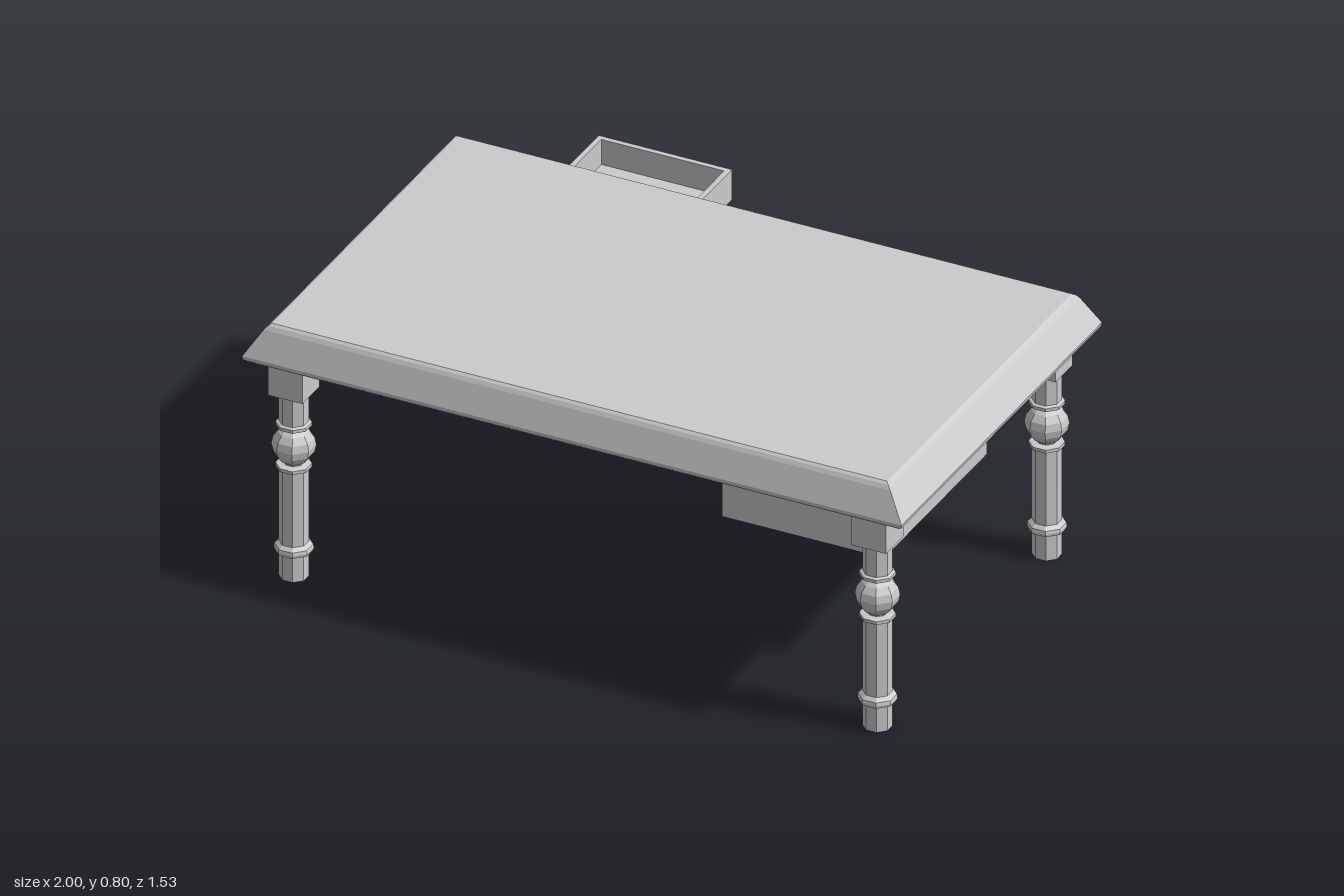
import * as THREE from 'three';

const mat = new THREE.MeshStandardMaterial({ color: 0xcccccc, flatShading: true });
const smooth = new THREE.MeshStandardMaterial({ color: 0xcccccc });

function add(parent, name, geometry, x = 0, y = 0, z = 0, material = mat) {
  const m = new THREE.Mesh(geometry, material);
  m.name = name;
  m.position.set(x, y, z);
  parent.add(m);
  return m;
}

// Box given by its limits on each axis
function span(parent, name, x0, x1, y0, y1, z0, z1) {
  return add(parent, name, new THREE.BoxGeometry(x1 - x0, y1 - y0, z1 - z0),
    (x0 + x1) / 2, (y0 + y1) / 2, (z0 + z1) / 2);
}

// Rectangular loft from rows of [y, half width, half depth], bottom to top
function rectLoft(rows) {
  const pos = [], idx = [];
  for (const [y, w, d] of rows) pos.push(-w, y, d, w, y, d, w, y, -d, -w, y, -d);
  for (let r = 0; r < rows.length - 1; r++) {
    for (let i = 0; i < 4; i++) {
      const a = r * 4 + i, b = r * 4 + (i + 1) % 4;
      idx.push(a, b, b + 4, a, b + 4, a + 4);
    }
  }
  const t = (rows.length - 1) * 4;
  idx.push(0, 2, 1, 0, 3, 2, t, t + 1, t + 2, t, t + 2, t + 3);
  const g = new THREE.BufferGeometry();
  g.setAttribute('position', new THREE.Float32BufferAttribute(pos, 3));
  g.setIndex(idx);
  const flat = g.toNonIndexed();
  flat.computeVertexNormals();
  return flat;
}

// Eight-sided turned leg with a square block on top
function makeLeg(x, z) {
  const leg = new THREE.Group();
  leg.name = 'leg';
  leg.position.set(x, 0, z);
  const profile = [[0, 0], [0.038, 0], [0.038, 0.08], [0.049, 0.082], [0.051, 0.09], [0.049, 0.1],
    [0.038, 0.11], [0.038, 0.342], [0.046, 0.344], [0.046, 0.354], [0.026, 0.357]];
  for (let i = 1; i < 8; i++) {
    const a = (i / 8) * Math.PI;
    profile.push([Math.max(0.026, 0.057 * Math.sin(a)), 0.414 - 0.058 * Math.cos(a)]);
  }
  profile.push([0.026, 0.471], [0.046, 0.474], [0.046, 0.484], [0.038, 0.488], [0.038, 0.585]);
  const k = 1 / Math.cos(Math.PI / 8);
  const turned = new THREE.LatheGeometry(profile.map(([r, y]) => new THREE.Vector2(r * k, y)), 8, Math.PI / 8);
  add(leg, 'turnedPost', turned);
  span(leg, 'legBlock', -0.052, 0.052, 0.58, 0.69, -0.052, 0.052);
  return leg;
}

// Open-topped tray
function makeDrawer(name, x0, x1, y0, y1, z0, z1, t) {
  const g = new THREE.Group();
  g.name = name;
  span(g, 'drawerFloor', x0, x1, y0, y0 + t, z0, z1);
  span(g, 'drawerFront', x0, x1, y0 + t, y1, z0, z0 + t);
  span(g, 'drawerRear', x0, x1, y0 + t, y1, z1 - t, z1);
  span(g, 'drawerSide', x0, x0 + t, y0 + t, y1, z0 + t, z1 - t);
  span(g, 'drawerSide', x1 - t, x1, y0 + t, y1, z0 + t, z1 - t);
  return g;
}

// Curved pull with two round feet, pointing to -z
function makeHandle(x, y, z) {
  const g = new THREE.Group();
  g.name = 'handle';
  g.position.set(x, y, z);
  const path = new THREE.CatmullRomCurve3([[-0.04, 0.008, 0], [-0.038, 0.004, -0.012],
    [0, -0.008, -0.017], [0.038, 0.004, -0.012], [0.04, 0.008, 0]].map(p => new THREE.Vector3(...p)));
  add(g, 'pull', new THREE.TubeGeometry(path, 16, 0.004, 6), 0, 0, 0, smooth);
  for (const s of [-1, 1]) {
    add(g, 'handleFoot', new THREE.CylinderGeometry(0.01, 0.01, 0.006, 10), s * 0.04, 0.008, -0.002)
      .rotation.x = Math.PI / 2;
  }
  return g;
}

function rectPath(P, x0, x1, y0, y1) {
  const p = new P();
  p.moveTo(x0, y0);
  p.lineTo(x1, y0);
  p.lineTo(x1, y1);
  p.lineTo(x0, y1);
  p.closePath();
  return p;
}

// Case with rectangular openings towards -z and a closed +z end
function makeCase(name, outer, holes, z0, z1, t) {
  const g = new THREE.Group();
  g.name = name;
  const shape = rectPath(THREE.Shape, ...outer);
  for (const h of holes) shape.holes.push(rectPath(THREE.Path, ...h));
  add(g, 'caseBody', new THREE.ExtrudeGeometry(shape, { depth: z1 - z0 - t, bevelEnabled: false }), 0, 0, z0);
  span(g, 'casePanel', outer[0], outer[1], outer[2], outer[3], z1 - t, z1);
  return g;
}

// Loose cable with a stepped plug at each end
function makeCable() {
  const g = new THREE.Group();
  g.name = 'cable';
  const y = 0.615;
  const path = new THREE.CatmullRomCurve3([[-0.62, -0.602], [-0.572, -0.575], [-0.56, -0.635],
    [-0.528, -0.656], [-0.496, -0.632], [-0.488, -0.594], [-0.46, -0.61], [-0.425, -0.59],
    [-0.408, -0.552], [-0.35, -0.55]].map(([x, z]) => new THREE.Vector3(x, y, z)));
  add(g, 'wire', new THREE.TubeGeometry(path, 70, 0.008, 8), 0, 0, 0, smooth);
  for (const [x, z, s] of [[-0.62, -0.602, -1], [-0.345, -0.555, 1]]) {
    add(g, 'plug', new THREE.CylinderGeometry(0.015, 0.015, 0.045, 8), x + s * 0.025, y, z).rotation.z = Math.PI / 2;
    add(g, 'plugCollar', new THREE.CylinderGeometry(0.025, 0.025, 0.018, 8), x, y, z).rotation.z = Math.PI / 2;
  }
  return g;
}

export function createModel() {
  const model = new THREE.Group();
  model.name = 'desk';

  // Bevelled top
  add(model, 'tableTop', rectLoft([[0.684, 0.988, 0.594], [0.692, 0.998, 0.602], [0.703, 1, 0.604],
    [0.783, 0.95, 0.572], [0.794, 0.941, 0.565], [0.8, 0.932, 0.557]]), 0, 0, 0.16);

  // Four legs
  for (const x of [-0.885, 0.885]) for (const z of [-0.34, 0.68]) model.add(makeLeg(x, z));

  // Two-drawer cabinet, lower drawer pulled out
  model.add(makeCase('cabinet', [0.28, 0.772, 0.355, 0.685],
    [[0.3, 0.752, 0.385, 0.495], [0.3, 0.752, 0.52, 0.63]], -0.205, 0.415, 0.02));
  model.add(makeDrawer('upperDrawer', 0.303, 0.749, 0.523, 0.627, -0.203, 0.2, 0.014));
  model.add(makeHandle(0.526, 0.573, -0.203));
  model.add(makeDrawer('lowerDrawer', 0.303, 0.749, 0.388, 0.491, -0.385, 0.02, 0.014));
  model.add(makeHandle(0.526, 0.437, -0.385));

  // Single drawer housing with its drawer fully removed
  model.add(makeCase('drawerHousing', [-0.684, -0.28, 0.58, 0.685],
    [[-0.674, -0.29, 0.59, 0.677]], -0.4, -0.06, 0.01));
  model.add(makeDrawer('openDrawer', -0.684, -0.28, 0.582, 0.677, -0.757, -0.42, 0.016));
  span(model, 'drawerFacePanel', -0.678, -0.286, 0.588, 0.671, -0.762, -0.756);
  model.add(makeCable());

  return model;
}
